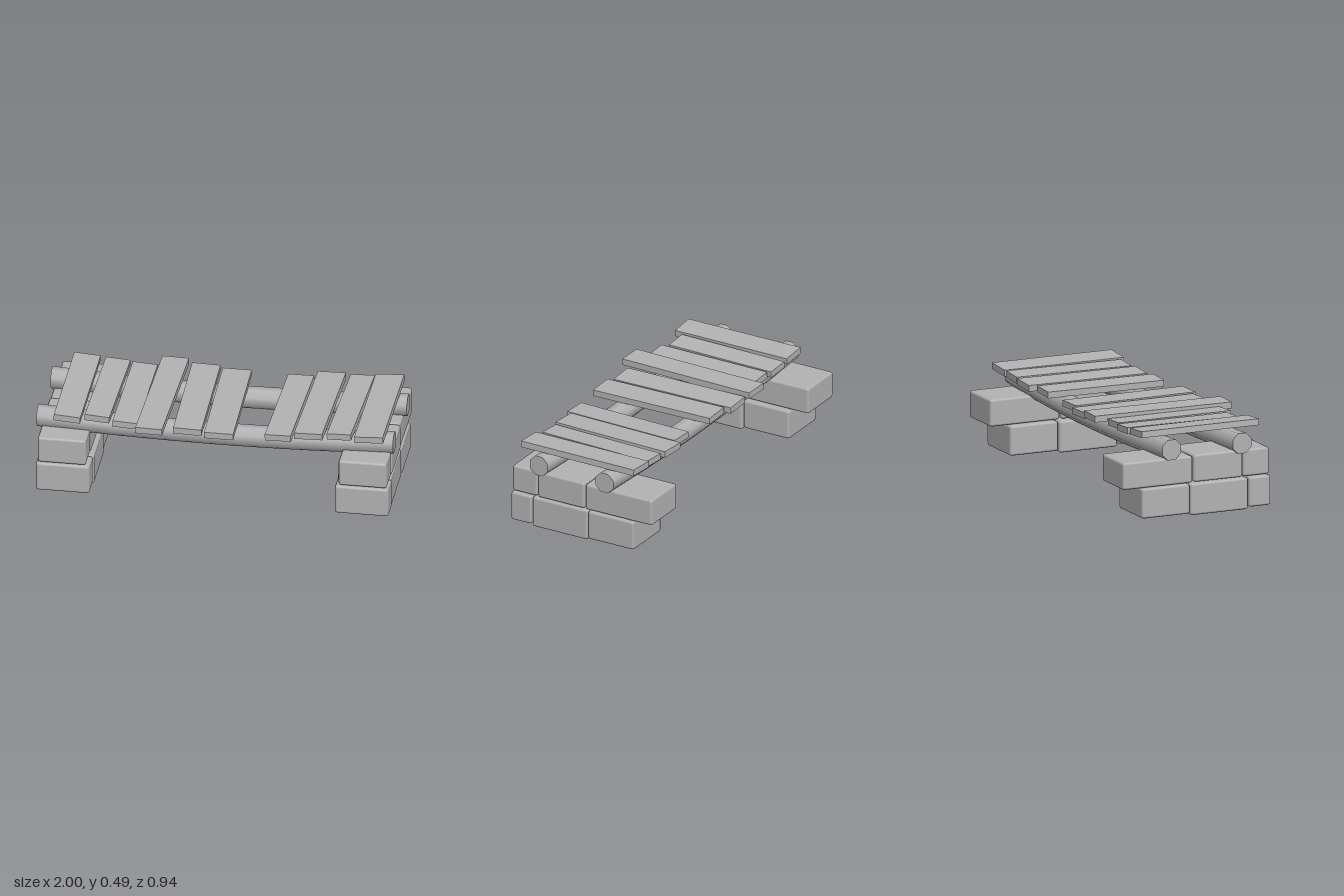
import * as THREE from 'three';
import { RoundedBoxGeometry } from 'three/addons/geometries/RoundedBoxGeometry.js';

const grey = new THREE.MeshStandardMaterial({ color: 0xb3b3b3 });
grey.name = 'grey';

function add(parent, name, geometry, x, y, z) {
  const mesh = new THREE.Mesh(geometry, grey);
  mesh.name = name;
  mesh.position.set(x, y, z);
  parent.add(mesh);
  return mesh;
}

// Eight-sided log along x that sags in the middle
function logGeometry() {
  const g = new THREE.CylinderGeometry(0.062, 0.062, 1.99, 8, 16, false, Math.PI / 8);
  g.rotateZ(Math.PI / 2);
  const p = g.attributes.position;
  for (let i = 0; i < p.count; i++) p.setY(i, p.getY(i) + 0.029 * p.getX(i) ** 2);
  return g;
}

// Stone rows: [name, inner x, outer x, bottom, top, front z, back z]
const STONES = [
  ['lowerFrontStone', 0.685, 0.985, 0.012, 0.182, 0.435, 0.302],
  ['lowerMiddleStone', 0.68, 0.98, 0.0, 0.18, 0.3, -0.055],
  ['lowerBackStone', 0.685, 0.985, 0.012, 0.182, -0.06, -0.355],
  ['upperFrontStone', 0.705, 0.975, 0.186, 0.34, 0.43, 0.27],
  ['upperMiddleStone', 0.7, 0.98, 0.186, 0.342, 0.265, -0.035],
  ['upperBackStone', 0.707, 0.977, 0.184, 0.338, -0.04, -0.468],
];

// Planks: [x at back, x at front, width, back z, front z, centre y, roll]
const PLANKS = [
  [-0.814, -0.814, 0.148, -0.31, 0.408, 0.46, -0.07],
  [-0.642, -0.655, 0.138, -0.31, 0.355, 0.446, -0.06],
  [-0.488, -0.493, 0.14, -0.292, 0.39, 0.44, -0.05],
  [-0.328, -0.348, 0.15, -0.36, 0.467, 0.455, 0.0],
  [-0.155, -0.143, 0.158, -0.345, 0.402, 0.435, -0.03],
  [0.022, 0.036, 0.162, -0.315, 0.425, 0.435, -0.01],
  [0.382, 0.362, 0.146, -0.303, 0.397, 0.436, 0.03],
  [0.547, 0.527, 0.158, -0.345, 0.37, 0.445, 0.04],
  [0.722, 0.697, 0.136, -0.33, 0.36, 0.451, 0.05],
  [0.873, 0.868, 0.16, -0.338, 0.39, 0.463, 0.06],
];

export function createModel() {
  const model = new THREE.Group();
  model.name = 'plankBridge';

  // Stone supports, mirrored at both ends
  for (const side of [1, -1]) {
    const support = new THREE.Group();
    support.name = side > 0 ? 'leftSupport' : 'rightSupport';
    for (const [name, x0, x1, y0, y1, z0, z1] of STONES) {
      const g = new RoundedBoxGeometry(x1 - x0, y1 - y0, z0 - z1, 1, 0.014);
      add(support, name, g, side * (x0 + x1) / 2, (y0 + y1) / 2, (z0 + z1) / 2);
    }
    model.add(support);
  }

  // Two sagging logs
  const log = logGeometry();
  add(model, 'frontLog', log, -0.005, 0.355, 0.25);
  add(model, 'backLog', log, 0.005, 0.359, -0.177);

  // Uneven deck with one plank missing
  PLANKS.forEach(([xb, xf, width, zb, zf, y, roll], i) => {
    const g = new THREE.BoxGeometry(width, 0.036, zf - zb);
    const plank = add(model, 'plank' + (i + 1), g, (xb + xf) / 2, y, (zb + zf) / 2);
    plank.rotation.set(0, Math.atan2(xf - xb, zf - zb), roll);
  });

  return model;
}
